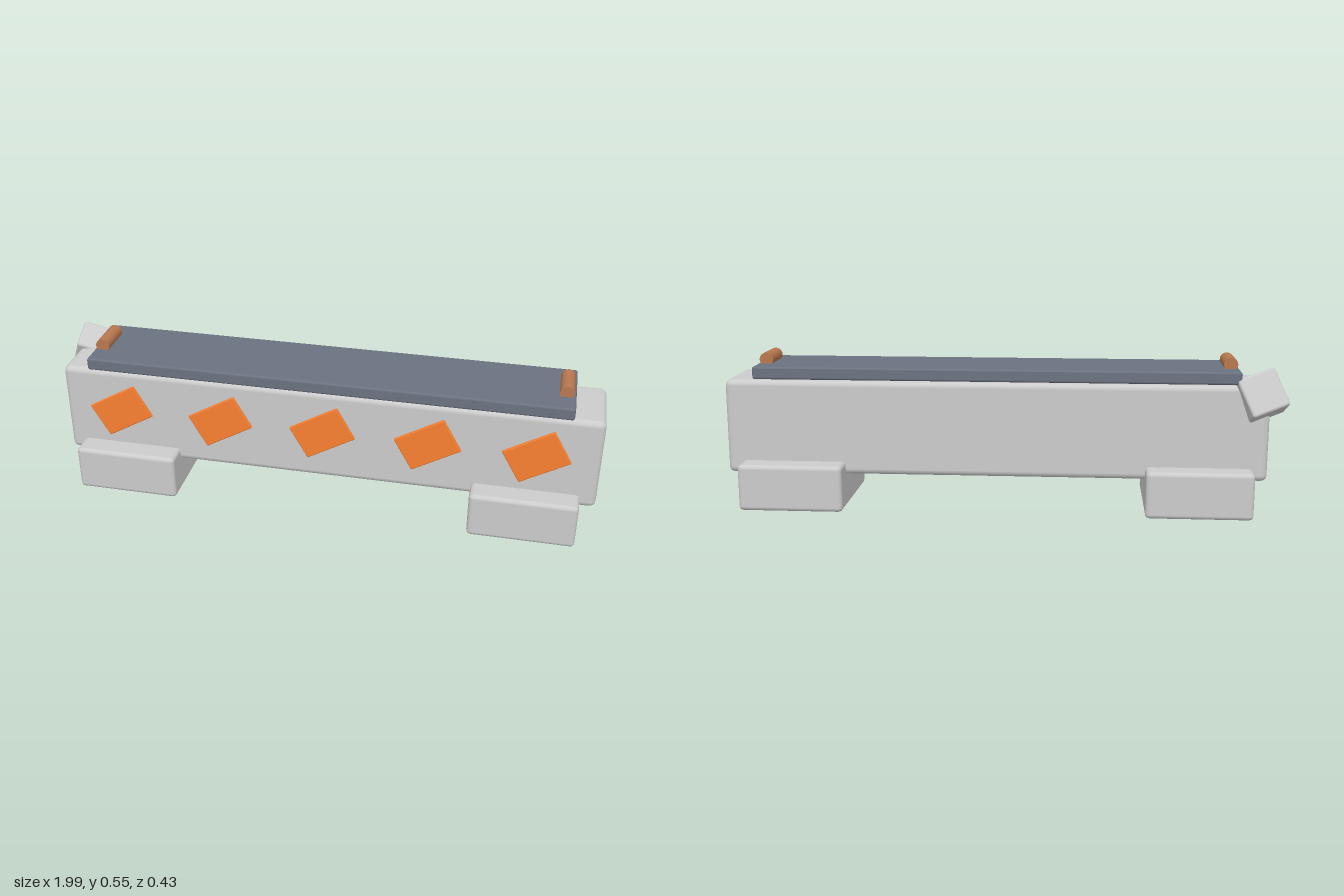
import * as THREE from 'three';
import { RoundedBoxGeometry } from 'three/addons/geometries/RoundedBoxGeometry.js';

const stone = new THREE.MeshStandardMaterial({ color: 0xcccccc });
const slate = new THREE.MeshStandardMaterial({ color: 0x6b7280 });
const orange = new THREE.MeshStandardMaterial({ color: 0xf98030 });
const brown = new THREE.MeshStandardMaterial({ color: 0xb87850 });

export function createModel() {
  const group = new THREE.Group();

  function add(name, geometry, material, x, y, z) {
    const mesh = new THREE.Mesh(geometry, material);
    mesh.name = name;
    mesh.position.set(x, y, z);
    group.add(mesh);
    return mesh;
  }
  const block = (w, h, d, r) => new RoundedBoxGeometry(w, h, d, 2, r);

  // Long wall with a slab laid along its top
  add('wall', block(1.935, 0.342, 0.262, 0.022), stone, 0.03, 0.291, 0);
  add('topSlab', block(1.725, 0.045, 0.29, 0.008), slate, 0.028, 0.49, 0);

  // Wide feet under both ends
  for (const [name, x] of [['rightFoot', -0.697], ['leftFoot', 0.753]]) {
    add(name, block(0.376, 0.168, 0.428, 0.016), stone, x, 0.084, 0);
  }

  // Round bars across the slab ends
  for (const [name, x] of [['rightBar', -0.803], ['leftBar', 0.858]]) {
    add(name, new THREE.CylinderGeometry(0.025, 0.025, 0.13, 16), brown, x, 0.527, 0)
      .rotation.x = Math.PI / 2;
  }

  // Tilted tiles along the front
  for (let i = 0; i < 5; i++) {
    add('frontTile' + (i + 1), block(0.197, 0.134, 0.012, 0.004), orange,
      -0.72 + i * 0.375, 0.31, 0.142).rotation.z = 0.52;
  }

  // Loose block leaning over the back right corner
  const xAxis = new THREE.Vector3(0.93, -0.33, -0.2).normalize();
  const zAxis = new THREE.Vector3().crossVectors(xAxis, new THREE.Vector3(0.4, 0.85, 0.38)).normalize();
  const yAxis = new THREE.Vector3().crossVectors(zAxis, xAxis);
  add('looseBlock', block(0.14, 0.146, 0.116, 0.01), stone, -0.905, 0.424, -0.106)
    .quaternion.setFromRotationMatrix(new THREE.Matrix4().makeBasis(xAxis, yAxis, zAxis));

  return group;
}
